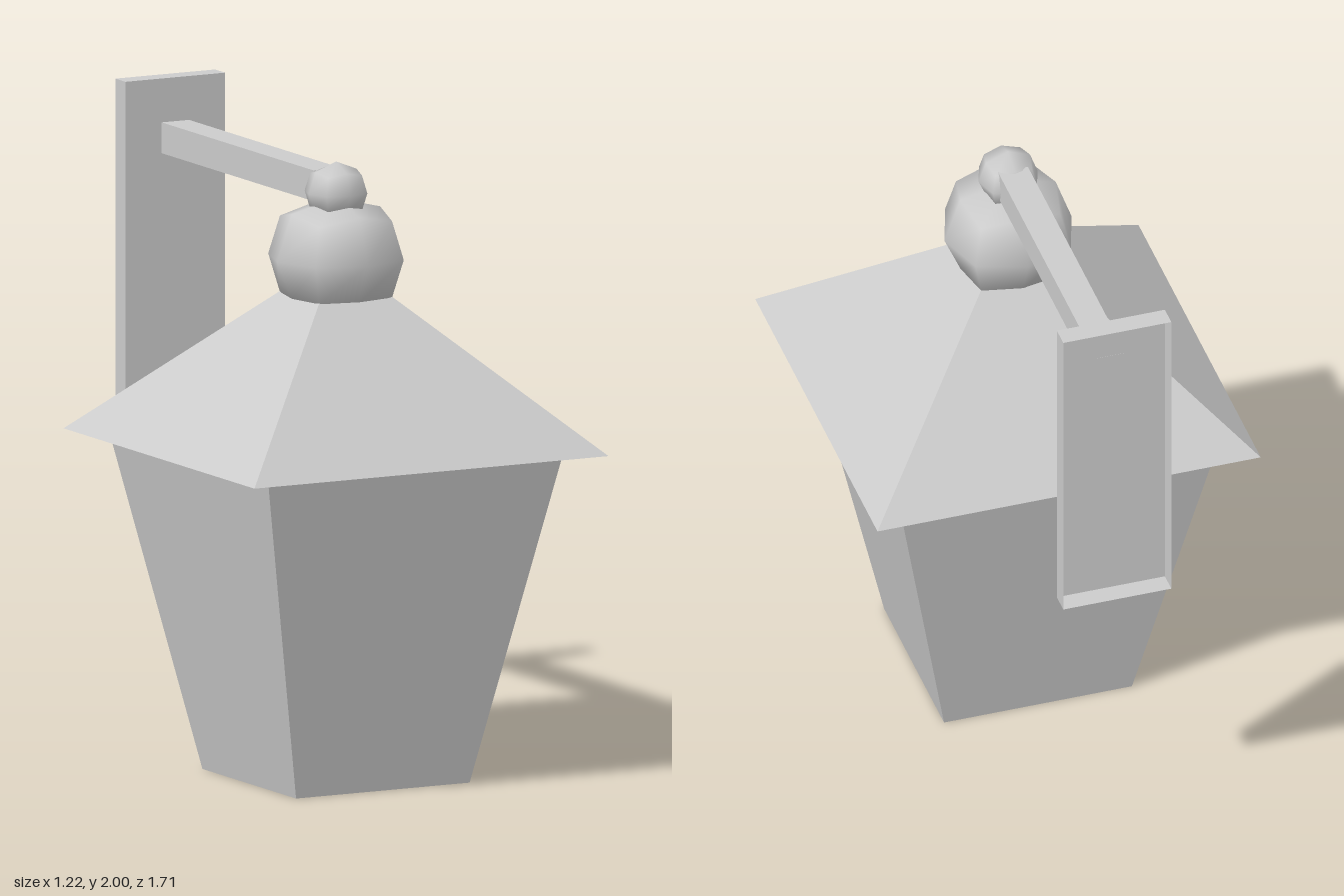
import * as THREE from 'three';
import { mergeVertices } from 'three/addons/utils/BufferGeometryUtils.js';

const LANTERN_Z = 0.24;

function createMaterial(options = {}) {
  return new THREE.MeshStandardMaterial({ color: 0xcccccc, ...options });
}

function addPart(group, name, geometry, material, x, y, z) {
  const mesh = new THREE.Mesh(geometry, material);
  mesh.name = name;
  mesh.position.set(x, y, z);
  group.add(mesh);
}

// Square frustum given by half-widths, standing on y = 0
function squareFrustum(topHalf, bottomHalf, height) {
  const geometry = new THREE.CylinderGeometry(topHalf * Math.SQRT2, bottomHalf * Math.SQRT2, height, 4);
  return geometry.rotateY(Math.PI / 4).translate(0, height / 2, 0);
}

// Rounded cube with 2 x 2 faces per side and a flattened bottom
function cubeBall(size, topHeight) {
  const box = new THREE.BoxGeometry(2, 2, 2, 2, 2, 2);
  box.deleteAttribute('normal');
  box.deleteAttribute('uv');
  const geometry = mergeVertices(box);
  const position = geometry.attributes.position;
  const v = new THREE.Vector3();
  // Radii for face centres, edge middles and corners
  const reach = [0, 1, 0.75, 0.62];
  for (let i = 0; i < position.count; i++) {
    v.fromBufferAttribute(position, i).round();
    const kind = Math.abs(v.x) + Math.abs(v.y) + Math.abs(v.z);
    v.multiplyScalar(reach[kind] * size);
    if (v.y > 0) v.y *= kind === 1 ? topHeight : 0.94;
    if (v.y < 0) v.y = Math.max(v.y, -0.58 * size);
    position.setXYZ(i, v.x, v.y, v.z);
  }
  geometry.computeVertexNormals();
  return geometry;
}

export function createModel() {
  const group = new THREE.Group();
  group.name = 'wallLantern';
  const flat = createMaterial({ flatShading: true });
  const smooth = createMaterial();
  const thin = createMaterial({ flatShading: true, side: THREE.DoubleSide });

  // Tapered lantern body and overhanging roof
  addPart(group, 'lanternBody', squareFrustum(0.51, 0.3, 1.03), flat, 0, 0, LANTERN_Z);
  addPart(group, 'roof', squareFrustum(0.126, 0.612, 0.458), flat, 0, 1.03, LANTERN_Z);

  // Two stacked finial balls
  addPart(group, 'largeBall', cubeBall(0.203, 0.89), smooth, 0, 1.603, LANTERN_Z);
  addPart(group, 'smallBall', cubeBall(0.094, 1), smooth, 0, 1.803, LANTERN_Z);

  // Square arm reaching back to the wall
  addPart(group, 'arm', new THREE.BoxGeometry(0.095, 0.095, 0.98), flat, 0, 1.817, -0.3);

  // Wall plate: a shallow box left open at the back
  const plate = new THREE.BoxGeometry(0.345, 1.02, 0.065);
  plate.setIndex(Array.from(plate.index.array).slice(0, 30));
  plate.clearGroups();
  addPart(group, 'wallPlate', plate, thin, 0, 1.49, -0.822);

  return group;
}
